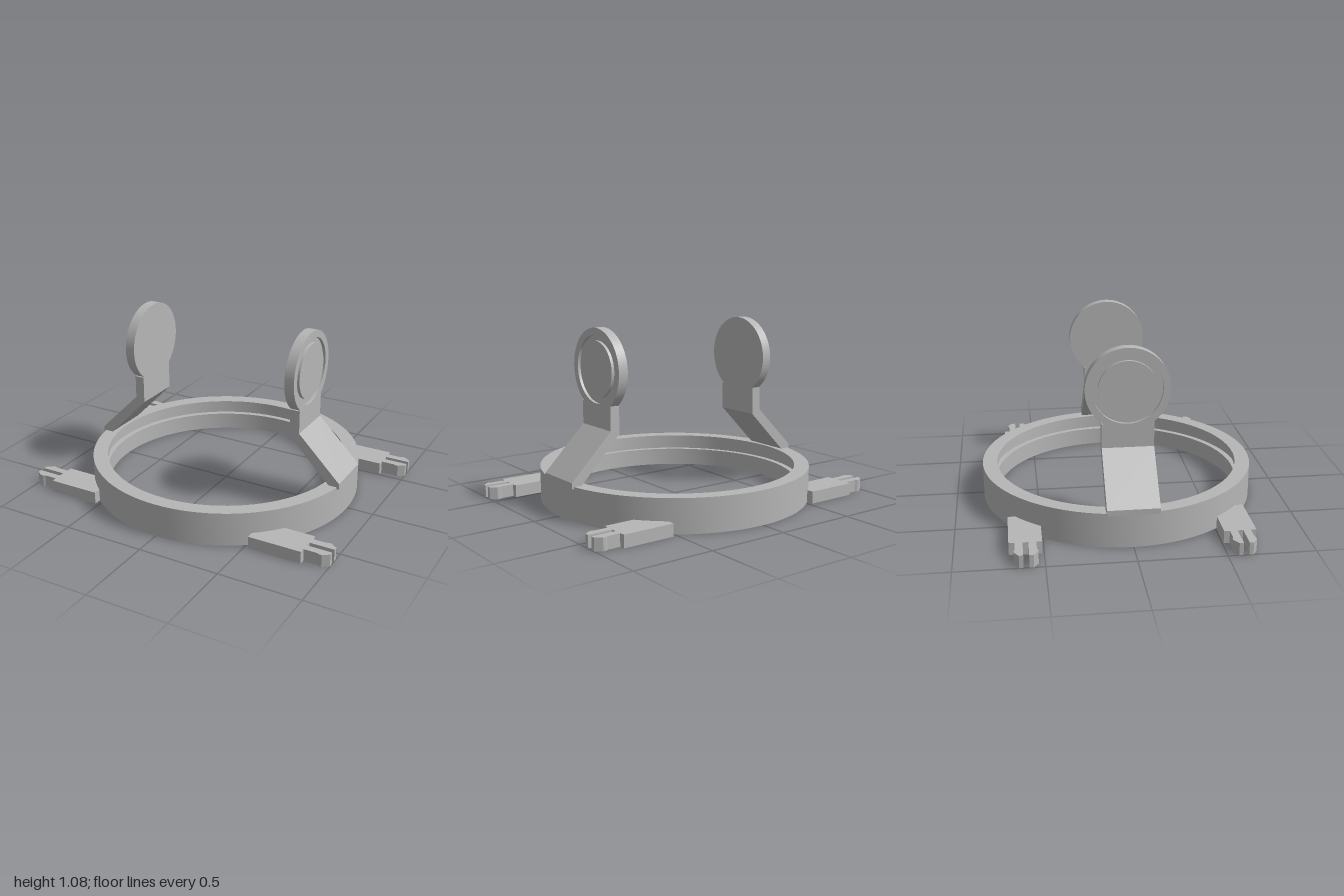
import * as THREE from 'three';
import { toCreasedNormals } from 'three/addons/utils/BufferGeometryUtils.js';

const vectors = (pts) => pts.map(([x, y]) => new THREE.Vector2(x, y));

// Solid of revolution from a closed profile, with sharp profile edges
function turned(profile, segments) {
  return toCreasedNormals(new THREE.LatheGeometry(vectors(profile), segments), 0.6);
}

function extruded(pts, depth) {
  return new THREE.ExtrudeGeometry(new THREE.Shape(vectors(pts)), { depth, bevelEnabled: false });
}

export function createModel() {
  const model = new THREE.Group();
  model.name = 'ringMount';
  const grey = new THREE.MeshStandardMaterial({ color: 0xb6b6b6 });
  grey.name = 'grey';

  function add(parent, name, geometry) {
    const mesh = new THREE.Mesh(geometry, grey);
    mesh.name = name;
    parent.add(mesh);
    return mesh;
  }

  // Base ring with a groove around its inner wall
  add(model, 'baseRing', turned([
    [0.745, 0], [0.835, 0], [0.835, 0.206], [0.745, 0.206],
    [0.745, 0.16], [0.78, 0.16], [0.78, 0.11], [0.745, 0.11], [0.745, 0],
  ], 96));

  // Cranked arms, each carrying an upright disc with a groove on its outer face
  for (const side of [1, -1]) {
    const arm = new THREE.Group();
    arm.name = side > 0 ? 'leftArm' : 'rightArm';
    const strut = add(arm, 'strut', extruded([
      [0.51, 0.637], [0.51, 0.47], [0.78, 0.195], [0.815, 0.19],
      [0.835, 0.197], [0.835, 0.23], [0.57, 0.495], [0.57, 0.637],
    ], 0.3));
    strut.position.z = -0.15;
    const disc = add(arm, 'disc', turned([
      [0, 0], [0.243, 0], [0.243, 0.06], [0.2, 0.06],
      [0.2, 0.042], [0.168, 0.042], [0.168, 0.06], [0, 0.06],
    ], 64));
    disc.rotation.z = -Math.PI / 2;
    disc.position.set(0.51, 0.837, 0);
    if (side < 0) arm.rotation.y = Math.PI;
    model.add(arm);
  }

  // Buckle clips: a flat body ending in two barbed prongs, in plan [x, z offset]
  const centre = 0.602;
  const prong = [[0.85, 0.06], [0.93, 0.06], [0.945, 0.067], [0.96, 0.067], [1, 0.04], [1, 0.016], [0.85, 0.016]];
  const outline = [
    [0.525, -0.042], [0.525, 0.093], [0.848, 0.093],
    ...prong,
    ...prong.map(([x, z]) => [x, -z]).reverse(),
    [0.848, -0.093], [0.6, -0.093],
  ];
  for (const sx of [1, -1]) {
    for (const sz of [1, -1]) {
      const pts = outline.map(([x, z]) => [sx * x, -sz * (centre + z)]);
      const name = (sz > 0 ? 'front' : 'back') + (sx > 0 ? 'Left' : 'Right') + 'Clip';
      add(model, name, extruded(pts, 0.075).rotateX(-Math.PI / 2));
    }
  }
  return model;
}
